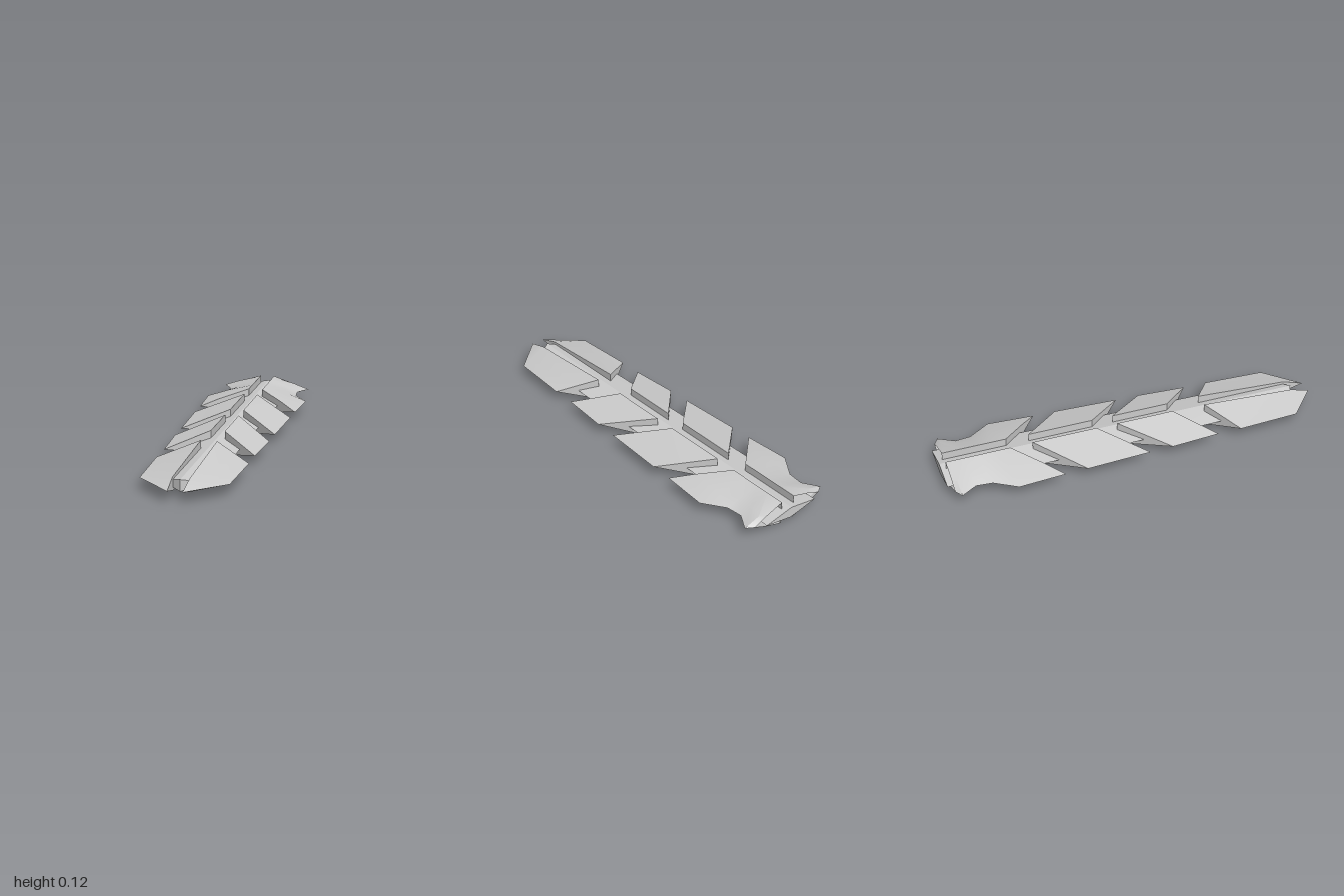
import * as THREE from 'three';
import { toCreasedNormals } from 'three/addons/utils/BufferGeometryUtils.js';

const MID_Y = 0.06;
const material = new THREE.MeshStandardMaterial({ color: 0xcccccc, side: THREE.DoubleSide });

// Wedge-shaped half plate lofted through sections that run front to back.
// Section: [innerX, innerZ, inner half height, outerX, outerZ]; the outer edge is sharp.
function wedge(name, sections, side, { bulge = 0, innerWall = true, rearCap = true } = {}) {
  const rings = sections.map(([ix, iz, h, ox, oz]) => {
    const point = (t, y) =>
      new THREE.Vector3(side * (ix + (ox - ix) * t), MID_Y + y, iz + (oz - iz) * t);
    const m = h * (0.4 + bulge);
    return [point(0, h), point(0.6, m), point(1, 0), point(0.6, -m), point(0, -h)];
  });

  const positions = [];
  const tri = (a, b, c) => {
    const area = b.clone().sub(a).cross(c.clone().sub(a)).length();
    if (area < 1e-9) return;
    for (const p of side > 0 ? [a, b, c] : [a, c, b]) positions.push(p.x, p.y, p.z);
  };

  const walls = innerWall ? 5 : 4;
  for (let i = 0; i < rings.length - 1; i++) {
    for (let j = 0; j < walls; j++) {
      const k = (j + 1) % 5;
      const a = rings[i][j], b = rings[i][k], c = rings[i + 1][k], d = rings[i + 1][j];
      tri(a, b, c);
      tri(a, c, d);
    }
  }

  // End caps
  const front = rings[0], rear = rings[rings.length - 1];
  for (let j = 1; j < 4; j++) {
    tri(front[0], front[j + 1], front[j]);
    if (rearCap) tri(rear[0], rear[j], rear[j + 1]);
  }

  const geometry = new THREE.BufferGeometry();
  geometry.setAttribute('position', new THREE.Float32BufferAttribute(positions, 3));
  const mesh = new THREE.Mesh(toCreasedNormals(geometry, 0.5), material);
  mesh.name = name;
  return mesh;
}

export function createModel() {
  const group = new THREE.Group();
  group.name = 'segmentedBlade';

  // Central spine with a diamond cross-section and a pointed front
  const spine = [
    [0, 0.9, 0.028, 0.12, 0.83],
    [0, 0.4, 0.028, 0.13, 0.4],
    [0, -0.55, 0.028, 0.145, -0.55],
    [0, -1, 0.028, 0.155, -1],
  ];

  // Tip plate, thinning to a sharp point
  const tipPlate = [
    [0.035, 0.99, 0, 0.035, 0.99],
    [0.04, 0.88, 0.032, 0.21, 0.83],
    [0.04, 0.385, 0.06, 0.225, 0.51],
  ];

  // Swept middle plates
  const frontMiddlePlate = [
    [0.035, 0.21, 0.06, 0.225, 0.385],
    [0.035, -0.09, 0.06, 0.242, 0.13],
  ];
  const rearMiddlePlate = [
    [0.035, -0.2, 0.06, 0.245, 0.008],
    [0.035, -0.535, 0.06, 0.26, -0.325],
  ];

  // Rear plate with a waist and flared corners, hollow at the back
  const rearPlate = [
    [0.038, -0.65, 0.06, 0.263, -0.44],
    [0.038, -0.74, 0.06, 0.278, -0.68],
    [0.038, -0.81, 0.06, 0.203, -0.79],
    [0.038, -0.88, 0.06, 0.195, -0.87],
    [0.038, -0.955, 0.06, 0.245, -0.95],
    [0.038, -0.975, 0.06, 0.205, -0.975],
  ];

  for (const [label, side] of [['left', 1], ['right', -1]]) {
    group.add(
      wedge(label + 'Spine', spine, side, { innerWall: false }),
      wedge(label + 'TipPlate', tipPlate, side),
      wedge(label + 'FrontMiddlePlate', frontMiddlePlate, side),
      wedge(label + 'RearMiddlePlate', rearMiddlePlate, side),
      wedge(label + 'RearPlate', rearPlate, side, { bulge: 0.07, rearCap: false }),
    );
  }
  return group;
}
